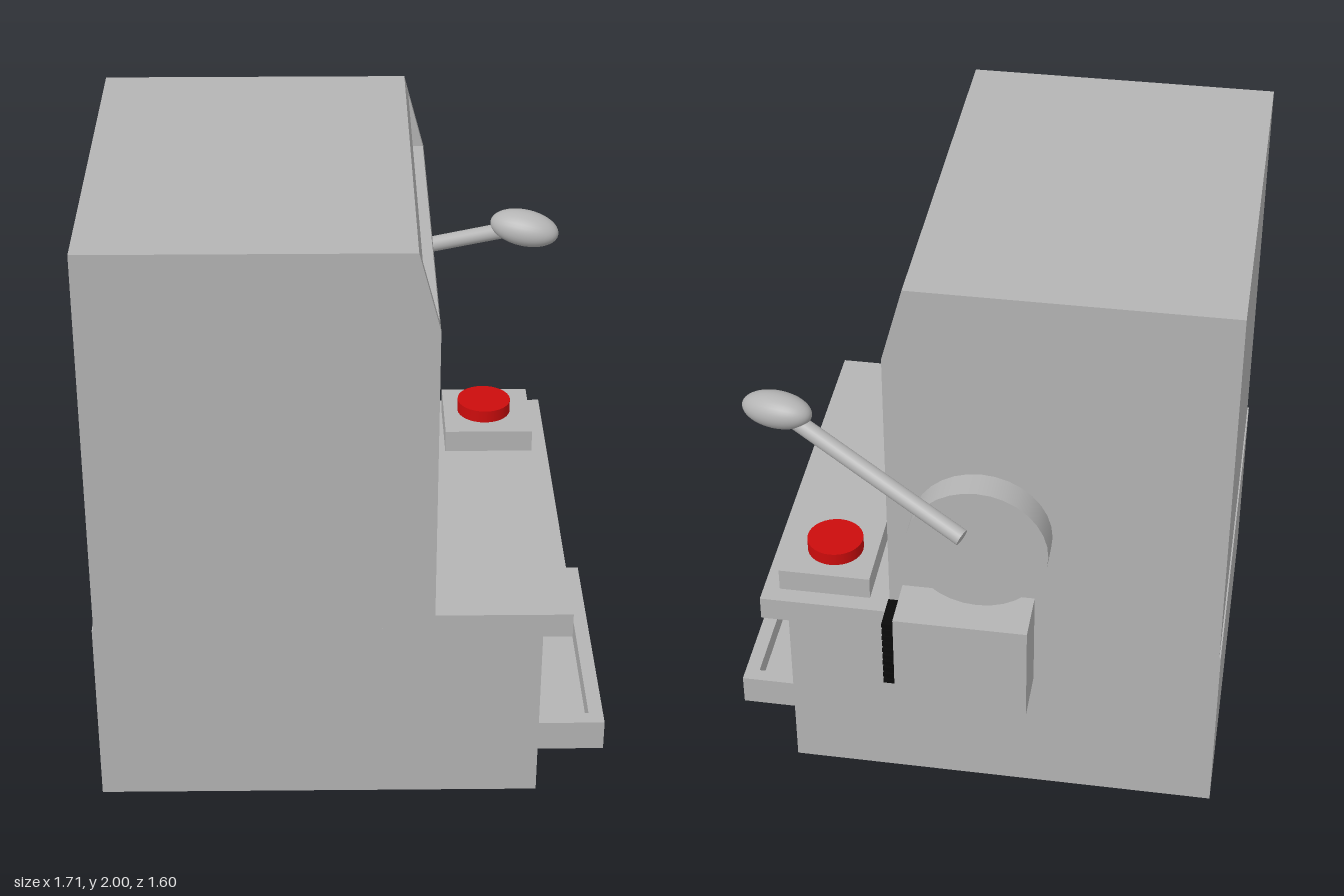
import * as THREE from 'three';

const grey = new THREE.MeshStandardMaterial({ color: 0xb4b4b4 });
grey.name = 'grey metal';
const red = new THREE.MeshStandardMaterial({ color: 0xcc0c0c });
red.name = 'red button';
const black = new THREE.MeshStandardMaterial({ color: 0x0a0a0a });
black.name = 'black slot';

export function createModel() {
  const model = new THREE.Group();
  model.name = 'leverMachine';

  const add = (name, geometry, material = grey, parent = model) => {
    const mesh = new THREE.Mesh(geometry, material);
    mesh.name = name;
    parent.add(mesh);
    return mesh;
  };
  // Box given by its minimum and maximum on each axis
  const box = (name, [x0, x1], [y0, y1], [z0, z1], material, parent) =>
    add(name, new THREE.BoxGeometry(x1 - x0, y1 - y0, z1 - z0)
      .translate((x0 + x1) / 2, (y0 + y1) / 2, (z0 + z1) / 2), material, parent);
  // Side profile in x and y, extruded from z0 to z1
  const slab = (name, points, z0, z1) => {
    const shape = new THREE.Shape(points.map(([x, y]) => new THREE.Vector2(x, y)));
    return add(name, new THREE.ExtrudeGeometry(shape, { depth: z1 - z0, bevelEnabled: false })
      .translate(0, 0, z0));
  };

  // Upper cabinet: two side panels and a hollow middle with a recessed header
  const side = [[-0.85, 0.66], [0.25, 0.66], [0.25, 1.74], [0.18, 2], [-0.85, 2]];
  slab('cabinetSideLeft', side, 0.76, 0.8);
  slab('cabinetSideRight', side, -0.6, -0.56);
  slab('cabinetShell', [
    [-0.85, 0.63], [0.25, 0.63], [0.25, 0.71], [-0.81, 0.66], [-0.81, 1.67], [0.25, 1.72],
    [0.25, 1.74], [0.246, 1.755], [0.203, 1.755], [0.151, 1.95], [0.193, 1.95],
    [0.18, 2], [-0.85, 2],
  ], -0.56, 0.76);

  // Lower cabinet with a payout opening
  box('baseSideRight', [-0.855, 0.6], [0, 0.66], [-0.6, -0.37]);
  box('baseSideLeft', [-0.855, 0.6], [0, 0.66], [0.59, 0.8]);
  slab('baseMiddle', [
    [-0.855, 0], [0.33, 0], [0.33, 0.44], [0.6, 0.44], [0.6, 0.66], [-0.855, 0.66],
  ], -0.37, 0.59);
  box('counter', [0.24, 0.695], [0.625, 0.71], [-0.6, 0.8]);

  // Payout tray
  const tray = new THREE.Group();
  tray.name = 'tray';
  model.add(tray);
  box('trayFloor', [0.33, 0.85], [0, 0.04], [-0.37, 0.585], grey, tray);
  box('trayFront', [0.8, 0.85], [0.04, 0.11], [-0.37, 0.585], grey, tray);
  box('trayRight', [0.6, 0.8], [0.04, 0.11], [-0.37, -0.32], grey, tray);
  box('trayLeft', [0.6, 0.8], [0.04, 0.11], [0.53, 0.585], grey, tray);

  // Push button on its plinth
  box('buttonPlinth', [0.33, 0.64], [0.71, 0.79], [-0.54, -0.23]);
  add('button', new THREE.CylinderGeometry(0.095, 0.095, 0.045, 32), red)
    .position.set(0.475, 0.8125, -0.39);

  // Lever hub, rod and egg-shaped knob
  add('leverHub', new THREE.CylinderGeometry(0.23, 0.23, 0.1, 32).rotateX(Math.PI / 2))
    .position.set(-0.06, 1.1, -0.65);
  const start = new THREE.Vector3(-0.025, 1.208, -0.772);
  const end = new THREE.Vector3(0.57, 1.445, -0.54);
  const up = new THREE.Vector3(0, 1, 0);
  const rod = add('leverRod',
    new THREE.CylinderGeometry(0.028, 0.028, start.distanceTo(end), 24));
  rod.position.copy(start).lerp(end, 0.5);
  rod.quaternion.setFromUnitVectors(up, end.clone().sub(start).normalize());
  const knob = add('leverKnob', new THREE.SphereGeometry(1, 32, 20).scale(0.06, 0.124, 0.07));
  knob.position.set(0.61, 1.455, -0.525);
  knob.quaternion.setFromUnitVectors(up, new THREE.Vector3(0.94, -0.1, 0.31).normalize());

  // Coin box with a ribbed black front
  box('coinBox', [-0.235, 0.205], [0.48, 0.835], [-0.78, -0.6]);
  const slot = new THREE.Group();
  slot.name = 'coinSlot';
  model.add(slot);
  box('slotBody', [0.205, 0.24], [0.527, 0.783], [-0.74, -0.625], black, slot);
  for (let i = 0; i < 10; i++) {
    const y = 0.525 + i * 0.0272;
    box('slotRib', [0.205, 0.25], [y, y + 0.015], [-0.745, -0.62], black, slot);
  }
  return model;
}
